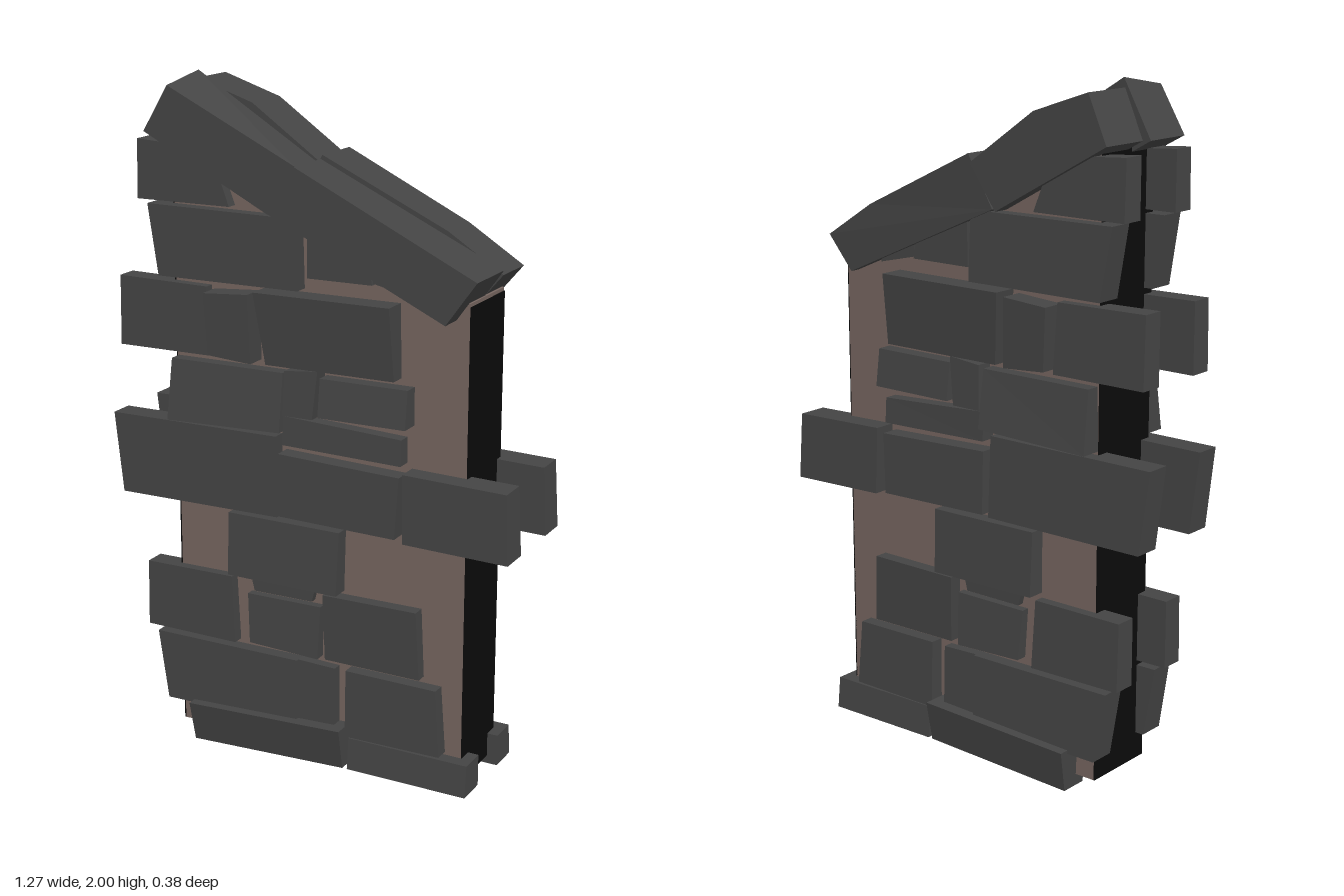
import * as THREE from 'three';

const stoneMat = new THREE.MeshStandardMaterial({ color: 0x444444, flatShading: true });
const coreMat = new THREE.MeshStandardMaterial({ color: 0x75655f, flatShading: true });
const endMat = new THREE.MeshStandardMaterial({ color: 0x0b0b0b, flatShading: true });

// Block with outline pts [x, y, ...] whose front and back depths are functions of x, y.
function block(name, pts, zBack, zFront, mat = stoneMat) {
  const corners = [];
  for (let i = 0; i < pts.length; i += 2) corners.push(new THREE.Vector2(pts[i], pts[i + 1]));
  const geo = new THREE.ExtrudeGeometry(new THREE.Shape(corners), { depth: 1, bevelEnabled: false });
  const p = geo.attributes.position;
  for (let i = 0; i < p.count; i++) {
    const f = p.getZ(i) > 0.5 ? zFront : zBack;
    p.setZ(i, f(p.getX(i), p.getY(i)));
  }
  geo.computeVertexNormals();
  const mesh = new THREE.Mesh(geo, mat);
  mesh.name = name;
  return mesh;
}

// Courses of facing stones: [corners from bottom left, outer depth at bottom, at top, inner depth].
const courses = {
  footing: [
    [[-0.375, 0.005, 0.125, 0.02, 0.125, 0.145, -0.38, 0.13], 0.165, 0.19, 0.08],
    [[0.14, 0.02, 0.515, 0.015, 0.515, 0.11, 0.14, 0.115], 0.165, 0.155, 0.07],
  ],
  lowerCourse: [
    [[-0.47, 0.12, -0.03, 0.12, -0.03, 0.325, -0.505, 0.33], 0.16, 0.155],
    [[-0.03, 0.14, 0.09, 0.14, 0.09, 0.32, -0.03, 0.325], 0.15, 0.145],
    [[0.13, 0.12, 0.43, 0.12, 0.415, 0.32, 0.13, 0.325], 0.16, 0.155],
    [[-0.54, 0.345, -0.24, 0.34, -0.25, 0.545, -0.54, 0.545], 0.15, 0.145],
    [[-0.19, 0.35, 0.035, 0.34, 0.04, 0.5, -0.2, 0.5], 0.15, 0.14],
    [[-0.18, 0.51, 0.01, 0.51, 0.02, 0.55, -0.19, 0.55], 0.135, 0.135],
    [[0.06, 0.345, 0.36, 0.34, 0.35, 0.545, 0.055, 0.545], 0.15, 0.155],
  ],
  middleCourse: [
    [[-0.25, 0.56, 0.105, 0.555, 0.11, 0.745, -0.25, 0.75], 0.17, 0.16],
    [[-0.61, 0.76, -0.09, 0.76, -0.095, 1.0, -0.64, 1.0], 0.16, 0.155],
    [[-0.08, 0.77, 0.29, 0.76, 0.3, 0.94, -0.08, 0.955], 0.175, 0.17],
    [[0.32, 0.755, 0.635, 0.745, 0.625, 0.945, 0.315, 0.955], 0.185, 0.18, 0.09],
    [[-0.07, 0.98, 0.3, 0.97, 0.3, 1.045, -0.07, 1.065], 0.16, 0.155],
    [[-0.44, 1.01, -0.07, 1.02, -0.07, 1.19, -0.435, 1.19], 0.18, 0.155],
    [[-0.065, 1.07, 0.03, 1.07, 0.045, 1.21, -0.06, 1.2], 0.17, 0.165],
    [[0.05, 1.08, 0.32, 1.08, 0.32, 1.19, 0.05, 1.19], 0.175, 0.16],
  ],
  upperCourse: [
    [[-0.61, 1.21, -0.31, 1.21, -0.32, 1.41, -0.61, 1.415], 0.15, 0.145],
    [[-0.3, 1.22, -0.16, 1.21, -0.165, 1.41, -0.31, 1.4], 0.18, 0.185],
    [[-0.12, 1.21, 0.28, 1.21, 0.275, 1.42, -0.145, 1.42], 0.165, 0.19],
    [[-0.47, 1.43, -0.02, 1.43, -0.025, 1.63, -0.505, 1.635], 0.16, 0.155],
    [[0, 1.465, 0.2, 1.465, 0.17, 1.63, 0, 1.65], 0.14, 0.14],
    [[0.2, 1.47, 0.33, 1.44, 0.3, 1.53, 0.2, 1.58], 0.135, 0.135],
    [[-0.54, 1.645, -0.24, 1.645, -0.3, 1.8, -0.54, 1.815], 0.15, 0.145],
  ],
};

export function createModel() {
  const model = new THREE.Group();
  model.name = 'stoneWall';

  // Plaster core with a sloping top and dark ends
  model.add(block('core', [-0.44, 0.04, 0.48, 0.04, 0.48, 1.44, -0.44, 1.83],
    () => -0.115, () => 0.115, coreMat));
  for (const [name, x, top] of [['leftEnd', 0.481, 1.43], ['rightEnd', -0.441, 1.82]]) {
    const end = new THREE.Mesh(new THREE.BoxGeometry(0.004, top - 0.04, 0.23), endMat);
    end.position.set(x, (top + 0.04) / 2, 0);
    end.name = name;
    model.add(end);
  }

  // Facing stones, repeated on the front and the back
  for (const [course, stones] of Object.entries(courses)) {
    for (const side of ['front', 'back']) {
      const group = new THREE.Group();
      group.name = `${side} ${course}`;
      for (const [pts, zBottom, zTop, zInner = 0.08] of stones) {
        const mid = (pts[1] + pts[5]) / 2;
        const outer = (x, y) => (y > mid ? zTop : zBottom);
        const inner = () => zInner;
        group.add(side === 'front'
          ? block('stone', pts, inner, outer)
          : block('stone', pts, (x, y) => -outer(x, y), () => -zInner));
      }
      model.add(group);
    }
  }

  // Coping stones along the slope, two on each face
  const upperCap = block('upperFrontCap', [-0.505, 1.84, -0.12, 1.63, -0.035, 1.77, -0.415, 2.0],
    (x) => (x < -0.2 ? 0.01 : 0.02), (x, y) => (x < -0.2 ? 0.165 : 0.14));
  // The outer top edge of the upper cap sits a little lower than the inner one
  const p = upperCap.geometry.attributes.position;
  for (let i = 0; i < p.count; i++) {
    if (p.getY(i) > 1.95 && p.getZ(i) > 0.1) p.setXY(i, -0.425, 1.972);
  }
  upperCap.geometry.computeVertexNormals();
  model.add(
    upperCap,
    block('lowerFrontCap', [-0.11, 1.64, 0.44, 1.39, 0.53, 1.515, -0.025, 1.775],
      () => 0.01, (x) => (x < 0.2 ? 0.168 : 0.188)),
    block('upperBackCap', [-0.49, 1.84, -0.12, 1.635, -0.03, 1.76, -0.25, 1.915, -0.43, 1.975],
      () => -0.165, () => -0.005),
    block('lowerBackCap', [-0.11, 1.64, 0.44, 1.4, 0.525, 1.5, 0.36, 1.605, -0.025, 1.785],
      (x) => (x < 0.2 ? -0.165 : -0.145), () => 0.0),
  );
  return model;
}
